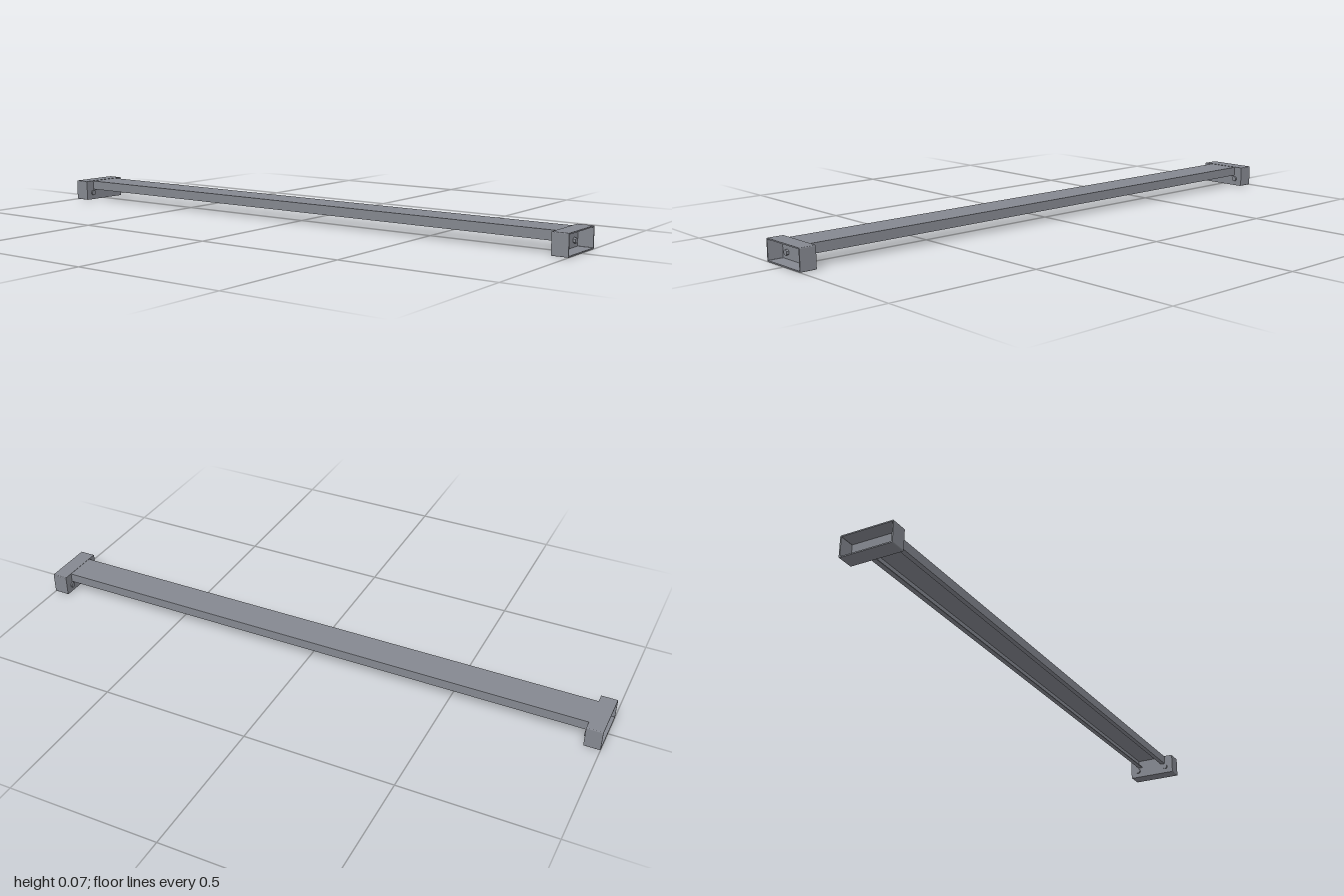
import * as THREE from 'three';

const W = 0.0875, H = 0.07, DEPTH = 0.053, WALL = 0.004;

// Rounded rectangle outline, centred on x, from y0 to y1
function roundedRect(target, hw, y0, y1, r) {
  target.moveTo(-hw + r, y0);
  target.lineTo(hw - r, y0);
  target.quadraticCurveTo(hw, y0, hw, y0 + r);
  target.lineTo(hw, y1 - r);
  target.quadraticCurveTo(hw, y1, hw - r, y1);
  target.lineTo(-hw + r, y1);
  target.quadraticCurveTo(-hw, y1, -hw, y1 - r);
  target.lineTo(-hw, y0 + r);
  target.quadraticCurveTo(-hw, y0, -hw + r, y0);
  return target;
}

function extrude(shape, depth, z) {
  const geometry = new THREE.ExtrudeGeometry(shape, { depth, bevelEnabled: false, curveSegments: 3 });
  return geometry.translate(0, 0, z);
}

export function createModel() {
  const model = new THREE.Group();
  model.name = 'crossbeam';
  const steel = new THREE.MeshStandardMaterial({ name: 'grey steel', color: 0x858890 });

  const add = (parent, name, geometry) => {
    const mesh = new THREE.Mesh(geometry, steel);
    mesh.name = name;
    parent.add(mesh);
    return mesh;
  };

  // Channel beam, open below, with lips folded inward
  const half = 0.056, top = 0.069, low = 0.038, t = 0.003, lip = 0.016;
  const right = [
    [half, top], [half, low], [half - lip, low], [half - lip, low + t],
    [half - t, low + t], [half - t, top - t],
  ];
  const left = right.map(([x, y]) => [-x, y]).reverse();
  const profile = new THREE.Shape([...right, ...left].map(([x, y]) => new THREE.Vector2(x, y)));
  const length = 2 * (1 - DEPTH);
  add(model, 'channelBeam', extrude(profile, length, -length / 2));

  // End brackets: trays open outward, bolted through the inner plate
  for (const [name, turn] of [['frontBracket', 0], ['backBracket', Math.PI]]) {
    const bracket = new THREE.Group();
    bracket.name = name;
    bracket.rotation.y = turn;
    model.add(bracket);

    const rim = roundedRect(new THREE.Shape(), W, 0, H, 0.003);
    rim.holes.push(roundedRect(new THREE.Path(), W - WALL, WALL, H - WALL, 0.001));
    add(bracket, 'bracketRim', extrude(rim, DEPTH - WALL, 1 - DEPTH + WALL));
    const plate = roundedRect(new THREE.Shape(), W, 0, H, 0.003);
    add(bracket, 'bracketPlate', extrude(plate, WALL, 1 - DEPTH));

    for (const side of [-1, 1]) {
      const x = side * 0.058, y = 0.025;
      // Hexagonal head inside the tray
      const head = new THREE.CylinderGeometry(0.009, 0.009, 0.008, 6).toNonIndexed();
      head.computeVertexNormals();
      head.rotateX(Math.PI / 2);
      add(bracket, 'boltHead', head).position.set(x, y, 1 - DEPTH + WALL + 0.004);
      // Round end on the beam side
      const end = new THREE.CylinderGeometry(0.009, 0.009, 0.006, 16).rotateX(Math.PI / 2);
      add(bracket, 'boltEnd', end).position.set(x, y, 1 - DEPTH - 0.003);
    }
  }
  return model;
}
